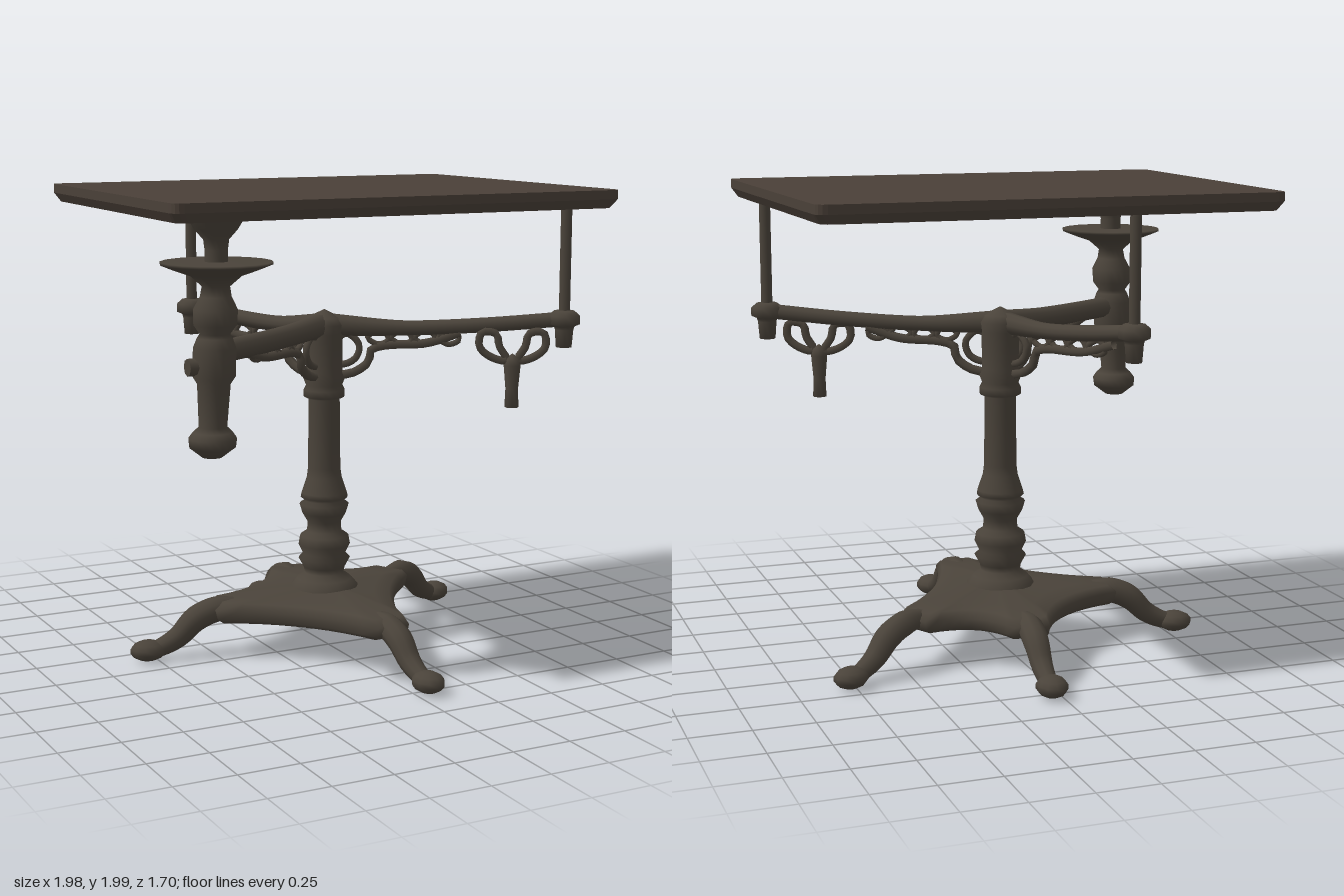
import * as THREE from 'three';

const iron = new THREE.MeshStandardMaterial({ color: 0x4a433a, side: THREE.DoubleSide });
iron.name = 'dark iron';
const wood = new THREE.MeshStandardMaterial({ color: 0x4a4038 });
wood.name = 'dark wood';

const V = (x, y, z = 0) => new THREE.Vector3(x, y, z);

function add(parent, name, geometry, material = iron) {
  const mesh = new THREE.Mesh(geometry, material);
  mesh.name = name;
  parent.add(mesh);
  return mesh;
}

// Skin over a list of closed rings of equal length
function loft(rings) {
  const n = rings[0].length, pos = [], idx = [];
  rings.forEach(r => r.forEach(p => pos.push(p.x, p.y, p.z)));
  for (let i = 0; i < rings.length - 1; i++)
    for (let j = 0; j < n; j++) {
      const a = i * n + j, b = i * n + (j + 1) % n;
      idx.push(a, b, b + n, a, b + n, a + n);
    }
  const g = new THREE.BufferGeometry();
  g.setAttribute('position', new THREE.Float32BufferAttribute(pos, 3));
  g.setIndex(idx);
  g.computeVertexNormals();
  return g;
}

// Round bar along a path with a radius at each path point
function taperedBar(points, radii, steps = 20, sides = 10) {
  const curve = new THREE.CatmullRomCurve3(points);
  const f = curve.computeFrenetFrames(steps, false);
  const rings = [];
  for (let i = 0; i <= steps; i++) {
    const p = curve.getPointAt(i / steps);
    const t = curve.getUtoTmapping(i / steps) * (radii.length - 1);
    const k = Math.min(Math.floor(t), radii.length - 2);
    const r = THREE.MathUtils.lerp(radii[k], radii[k + 1], t - k);
    const ring = [];
    for (let j = 0; j < sides; j++) {
      const a = (j / sides) * Math.PI * 2;
      ring.push(p.clone().addScaledVector(f.normals[i], Math.cos(a) * r)
        .addScaledVector(f.binormals[i], Math.sin(a) * r));
    }
    rings.push(ring);
  }
  return loft(rings);
}

// Turned part from [radius, height] pairs, bottom to top
const turned = (profile, sides = 16) =>
  new THREE.LatheGeometry(profile.map(([r, y]) => new THREE.Vector2(r, y)), sides);

const wire = (pts, r = 0.016, closed = false) =>
  new THREE.TubeGeometry(new THREE.CatmullRomCurve3(pts, closed), 18, r, 6, closed);

function tabletop(root) {
  const c = [[-0.99, 0.7], [0.99, 0.71], [0.98, -0.81], [-0.94, -0.81]];
  const s = new THREE.Shape();
  c.forEach(([x, z], i) => {
    const p = new THREE.Vector2(x, -z);
    const toward = k => {
      const q = new THREE.Vector2(c[k][0], -c[k][1]);
      return p.clone().add(q.sub(p).setLength(0.045));
    };
    const a = toward((i + 3) % 4), b = toward((i + 1) % 4);
    if (i) s.lineTo(a.x, a.y); else s.moveTo(a.x, a.y);
    s.quadraticCurveTo(p.x, p.y, b.x, b.y);
  });
  const g = new THREE.ExtrudeGeometry(s, { depth: 0.075, steps: 2, bevelEnabled: false, curveSegments: 4 });
  g.rotateX(-Math.PI / 2).translate(0, 1.925, 0);
  // Draw the lower edge inwards
  const p = g.attributes.position;
  for (let i = 0; i < p.count; i++)
    if (p.getY(i) < 1.93) p.setXYZ(i, p.getX(i) * 0.975, p.getY(i), p.getZ(i) * 0.97 - 0.002);
  g.computeVertexNormals();
  add(root, 'tabletop', g, wood);
}

function base(root) {
  const feet = [[0.77, -0.41], [0.06, 0.77], [-0.79, -0.14], [0.04, -0.78]];
  // Plate outline: blunt corners towards the feet, concave sides between them
  const corners = feet.map(([x, z]) => {
    const l = Math.hypot(x, z), d = V(x / l, 0, z / l), side = V(-d.z, 0, d.x);
    const m = d.clone().multiplyScalar(0.52);
    return [m.clone().addScaledVector(side, -0.075), m.clone().addScaledVector(side, 0.075)];
  });
  const outline = [];
  corners.forEach((c, i) => {
    const end = corners[(i + 1) % 4][0];
    const ctrl = c[1].clone().add(end).multiplyScalar(0.32);
    outline.push(c[0], ...new THREE.QuadraticBezierCurve3(c[1], ctrl, end).getPoints(9).slice(0, -1));
  });
  // Domed top, rounded rim and hollow underside
  const levels = [[0.01, 0.285], [0.4, 0.275], [0.7, 0.26], [0.93, 0.25], [1, 0.22], [0.98, 0.18],
    [0.94, 0.165], [0.84, 0.175], [0.78, 0.215], [0.01, 0.235]];
  add(root, 'basePlate', loft(levels.map(([s, y]) => outline.map(p => V(p.x * s, y, p.z * s)))));

  feet.forEach(([x, z]) => {
    const leg = new THREE.Group();
    leg.name = 'leg';
    const L = Math.hypot(x, z);
    leg.rotation.y = Math.atan2(-z, x);
    root.add(leg);
    add(leg, 'legBar', taperedBar(
      [V(L - 0.42, 0.215), V(L - 0.3, 0.21), V(L - 0.21, 0.175), V(L - 0.13, 0.1), V(L - 0.05, 0.06), V(L, 0.05)],
      [0.035, 0.055, 0.055, 0.046, 0.038, 0.03]));
    const foot = add(leg, 'foot', new THREE.SphereGeometry(1, 10, 7));
    foot.scale.set(0.078, 0.045, 0.066);
    foot.position.set(L, 0.053, 0);
  });
}

function column(root) {
  const c = add(root, 'column', turned([
    [0.15, 0.25], [0.145, 0.28], [0.12, 0.31], [0.085, 0.335], [0.09, 0.36], [0.112, 0.4], [0.092, 0.42],
    [0.112, 0.46], [0.105, 0.5], [0.075, 0.52], [0.072, 0.56], [0.095, 0.6], [0.107, 0.64], [0.082, 0.655],
    [0.102, 0.67], [0.098, 0.69], [0.075, 0.76], [0.07, 0.8], [0.067, 1.1], [0.088, 1.11], [0.088, 1.14],
    [0.078, 1.16], [0.09, 1.19], [0.078, 1.22], [0.08, 1.38], [0.09, 1.42], [0.07, 1.45], [0.001, 1.485]]));
  c.position.set(-0.01, 0, -0.02);
}

// Arm whose local x axis runs out to the given end, with openwork below it
function arm(root, name, x, z, endY, thick, reach) {
  const g = new THREE.Group();
  const dx = x + 0.01, dz = z + 0.02, L = Math.hypot(dx, dz);
  g.name = name;
  g.position.set(-0.01, 0, -0.02);
  g.rotation.y = Math.atan2(-dz, dx);
  root.add(g);
  add(g, 'armBar', taperedBar(
    [V(0, 1.42), V(L * 0.33, 1.405), V(L * 0.66, 1.4 + (endY - 1.4) * 0.4), V(L, endY)],
    [0.05, thick, thick, thick]));
  add(g, 'scrollBracket', wire([V(0.06, 1.2), V(0.13, 1.215), V(0.19, 1.26), V(0.2, 1.31), V(0.26, 1.33),
    V(reach * 0.75, 1.34), V(reach, 1.385)], 0.02));
  add(g, 'innerScroll', wire([V(0.06, 1.25), V(0.13, 1.27), V(0.15, 1.33), V(0.1, 1.38), V(0.06, 1.36)], 0.016, true));
  // Row of open loops
  for (let u = 0.23; u < reach - 0.04; u += 0.1)
    add(g, 'openworkLoop', wire([V(u - 0.045, 1.365), V(u, 1.335), V(u + 0.045, 1.355), V(u + 0.015, 1.395)], 0.013, true));
  return { g, L };
}

function rodSupport({ g, L }, radius) {
  add(g, 'socket', turned([[0.001, 1.325], [0.034, 1.325], [0.04, 1.4], [0.045, 1.415], [radius, 1.425],
    [radius, 1.46], [0.045, 1.48], [0.001, 1.485]], 10)).position.x = L;
  const rod = add(g, 'rod', new THREE.CylinderGeometry(0.024, 0.024, 0.49, 10));
  rod.position.set(L, 1.69, 0);
}

function pendant(parent, u) {
  const g = new THREE.Group();
  g.name = 'pendant';
  g.position.set(u, 0, 0.03);
  parent.add(g);
  [-1, 1].forEach(s => add(g, 'pendantLoop', wire([V(s * 0.02, 1.27), V(s * 0.09, 1.285), V(s * 0.14, 1.33),
    V(s * 0.13, 1.39), V(s * 0.07, 1.385), V(s * 0.055, 1.33)], 0.018, true)));
  add(g, 'pendantStem', turned([[0.001, 1.07], [0.03, 1.07], [0.027, 1.15], [0.036, 1.25], [0.03, 1.28], [0.001, 1.3]], 8));
}

function screwPost(root) {
  const g = new THREE.Group();
  g.name = 'screwPost';
  g.position.set(-0.715, 0, 0.43);
  root.add(g);
  const lower = add(g, 'lowerPost', turned([[0.001, 0.985], [0.04, 0.99], [0.092, 1.03], [0.096, 1.065], [0.078, 1.09],
    [0.056, 1.11], [0.066, 1.28], [0.085, 1.31], [0.085, 1.42], [0.07, 1.46], [0.06, 1.475], [0.085, 1.51],
    [0.088, 1.57], [0.062, 1.62], [0.055, 1.66], [0.1, 1.7], [0.17, 1.725], [0.22, 1.745], [0.22, 1.755], [0.001, 1.755]], 18));
  // Slight lean towards the top
  const p = lower.geometry.attributes.position;
  for (let i = 0; i < p.count; i++) p.setX(i, p.getX(i) + (p.getY(i) - 1.4) * 0.035);
  add(g, 'upperPost', turned([[0.045, 1.75], [0.045, 1.8], [0.05, 1.84], [0.085, 1.88], [0.115, 1.93]])).position.x = 0.012;
  const knob = add(g, 'clampKnob', new THREE.CylinderGeometry(0.035, 0.035, 0.06, 8));
  knob.rotation.z = Math.PI / 2;
  knob.position.set(-0.085, 1.35, 0);
}

export function createModel() {
  const root = new THREE.Group();
  root.name = 'adjustableTable';
  tabletop(root);
  base(root);
  column(root);
  arm(root, 'screwArm', -0.71, 0.43, 1.4, 0.045, 0.65);
  const front = arm(root, 'frontArm', 0.89, 0.46, 1.445, 0.032, 0.58);
  rodSupport(front, 0.068);
  pendant(front.g, 0.8);
  rodSupport(arm(root, 'backArm', -0.35, -0.66, 1.445, 0.034, 0.62), 0.068);
  screwPost(root);
  return root;
}
